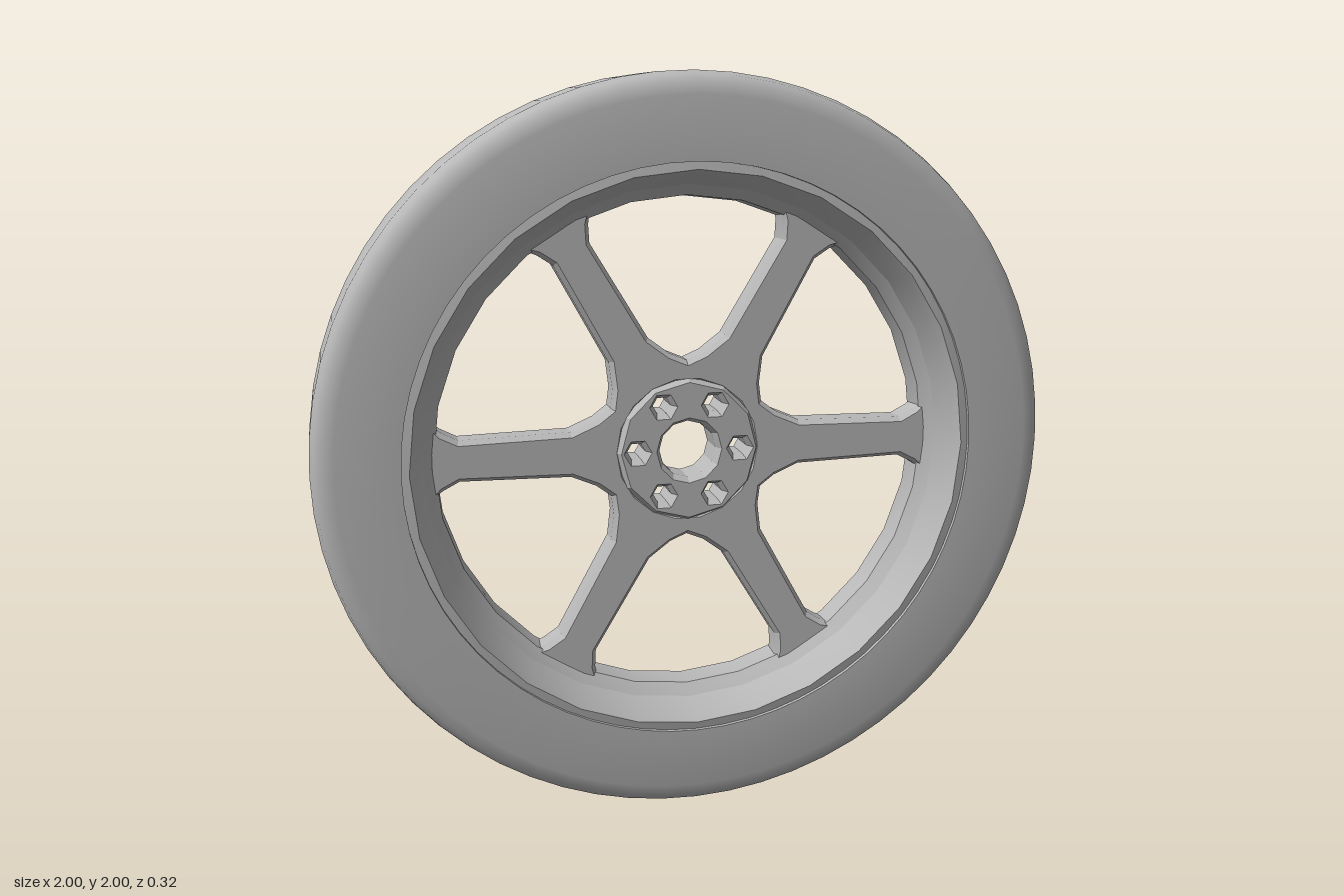
import * as THREE from 'three';
import { toCreasedNormals } from 'three/addons/utils/BufferGeometryUtils.js';

const grey = new THREE.MeshStandardMaterial({ color: 0xb8b8b8 });
grey.name = 'grey';

function addPart(group, name, geometry, crease) {
  const mesh = new THREE.Mesh(toCreasedNormals(geometry, crease), grey);
  mesh.name = name;
  group.add(mesh);
}

// Closed profile of [radius, z], turned about the wheel axis
function ring(profile, segments) {
  const points = [...profile, profile[0]].map(([r, z]) => new THREE.Vector2(r, z));
  return new THREE.LatheGeometry(points, segments).rotateX(Math.PI / 2);
}

const polar = (r, a) => new THREE.Vector2(r * Math.cos(a), r * Math.sin(a));

function hole(x, y, r, sides) {
  const points = [];
  for (let i = 0; i < sides; i++) {
    points.push(polar(r, (-i / sides) * Math.PI * 2).add(new THREE.Vector2(x, y)));
  }
  return new THREE.Path(points);
}

export function createModel() {
  const wheel = new THREE.Group();
  wheel.name = 'wheel';
  const body = new THREE.Group();
  body.name = 'wheelBody';
  body.position.y = 1;
  wheel.add(body);

  // Tyre with rounded shoulders
  addPart(body, 'tyre', ring([
    [0.775, -0.165], [0.94, -0.165], [0.97, -0.157], [0.99, -0.137], [1, -0.105],
    [1, 0.1], [0.99, 0.132], [0.97, 0.15], [0.94, 0.157], [0.775, 0.157],
  ], 64), 0.6);

  // Rim: lips on both faces, narrowing to the middle
  addPart(body, 'rim', ring([
    [0.785, -0.15], [0.785, 0.145], [0.755, 0.15], [0.74, 0.12],
    [0.715, 0.06], [0.685, 0.03], [0.68, -0.04], [0.71, -0.08],
    [0.74, -0.125], [0.755, -0.155],
  ], 28), 0.3);

  // Six spokes in one plate, flaring at hub and rim
  const outline = [];
  for (let i = 0; i < 6; i++) {
    const a = (i * Math.PI) / 3;
    const edge = [[0.25, -0.088], [0.32, -0.058], [0.62, -0.052], [0.665, -0.075], [0.695, -0.1]];
    const arm = [...edge, ...edge.slice().reverse().map(([x, y]) => [x, -y])];
    for (const [x, y] of arm) {
      outline.push(new THREE.Vector2(x, y).rotateAround(new THREE.Vector2(), a));
    }
    outline.push(polar(0.24, a + Math.PI / 6));
  }
  const plate = new THREE.Shape(outline);
  plate.holes.push(hole(0, 0, 0.19, 18));
  const spokes = new THREE.ExtrudeGeometry(plate, {
    depth: 0.055, bevelEnabled: true, bevelThickness: 0.018,
    bevelSize: 0.012, bevelOffset: -0.008, bevelSegments: 1,
  });
  spokes.translate(0, 0, -0.035);
  addPart(body, 'spokes', spokes, 0.3);

  // Hub with an open centre and six bolt holes
  const disc = new THREE.Shape();
  for (let i = 0; i < 12; i++) {
    const p = polar(0.195, (i * Math.PI) / 6);
    if (i) disc.lineTo(p.x, p.y);
    else disc.moveTo(p.x, p.y);
  }
  disc.closePath();
  disc.holes.push(hole(0, 0, 0.085, 12));
  for (let i = 0; i < 6; i++) {
    const c = polar(0.143, (i * Math.PI) / 3);
    disc.holes.push(hole(c.x, c.y, 0.032, 6));
  }
  const hub = new THREE.ExtrudeGeometry(disc, {
    depth: 0.085, bevelEnabled: true, bevelThickness: 0.025,
    bevelSize: 0.012, bevelOffset: -0.006, bevelSegments: 1,
  });
  hub.translate(0, 0, -0.055);
  addPart(body, 'hub', hub, 0.3);

  return wheel;
}
